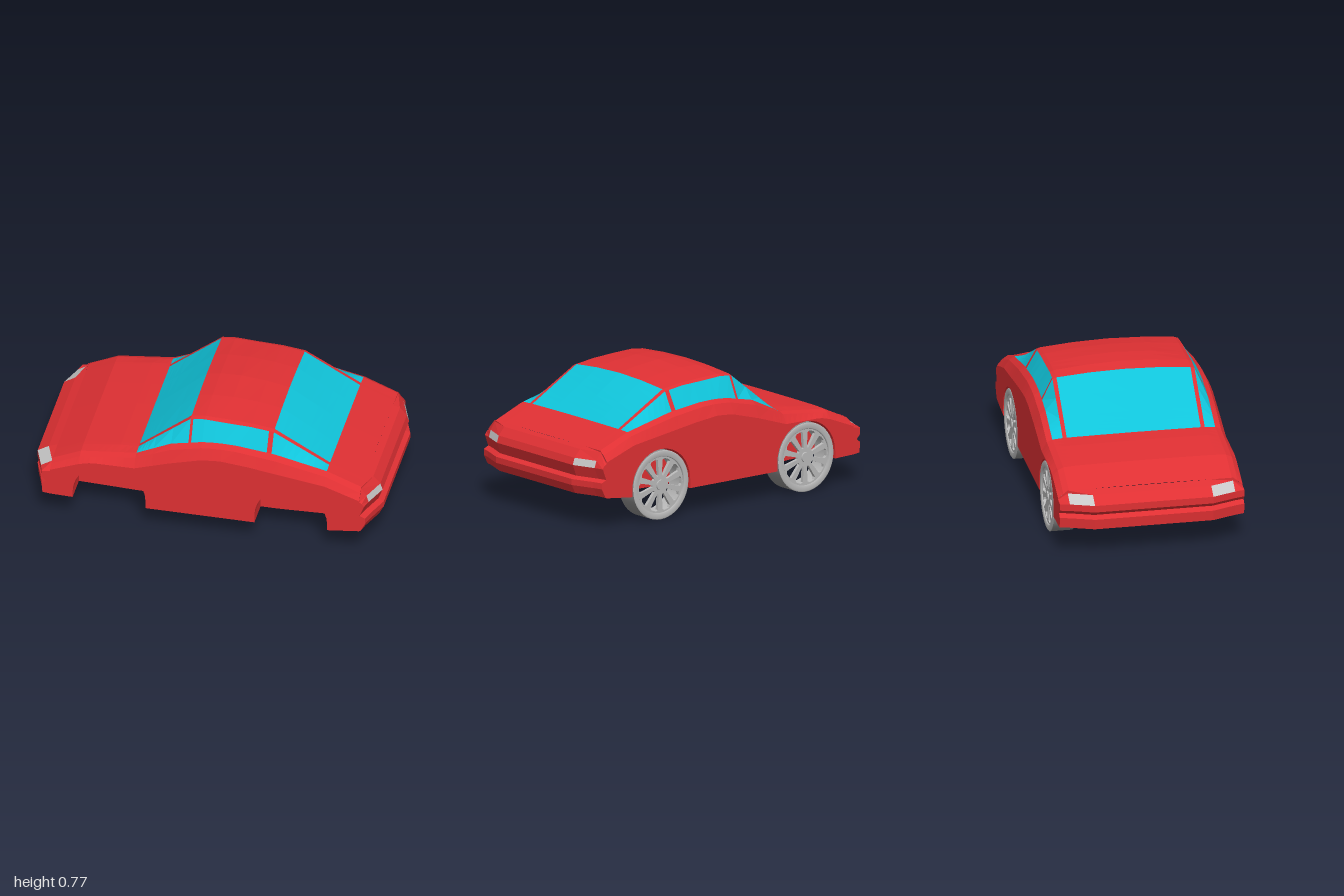
import * as THREE from 'three';

const mat = (name, color, side = THREE.FrontSide) => {
  const m = new THREE.MeshStandardMaterial({ color, side });
  m.name = name;
  return m;
};

// linear interpolation in a list of [x, y] keys
function lerpKeys(keys, x) {
  if (x <= keys[0][0]) return keys[0][1];
  for (let i = 1; i < keys.length; i++) {
    const [x0, y0] = keys[i - 1], [x1, y1] = keys[i];
    if (x <= x1) return y0 + (y1 - y0) * (x - x0) / (x1 - x0);
  }
  return keys[keys.length - 1][1];
}

// flat-shaded surface from rows of points; keep(i, j) picks the cells
function gridGeometry(rows, keep) {
  const pos = [];
  for (let i = 0; i < rows.length - 1; i++)
    for (let j = 0; j < rows[i].length - 1; j++) {
      if (!keep(i, j)) continue;
      const a = rows[i][j], b = rows[i + 1][j], c = rows[i + 1][j + 1], d = rows[i][j + 1];
      pos.push(...a, ...b, ...c, ...a, ...c, ...d);
    }
  const g = new THREE.BufferGeometry();
  g.setAttribute('position', new THREE.Float32BufferAttribute(pos, 3));
  g.computeVertexNormals();
  return g;
}

// side-view lines of the body
const BOTTOM = [[-0.885, 0.165], [-0.7, 0.16], [-0.4, 0.15], [0.4, 0.15], [0.7, 0.16], [0.9, 0.183]];
const BELT = [[-0.885, 0.33], [-0.72, 0.395], [-0.65, 0.413], [-0.4, 0.415], [-0.2, 0.48], [0, 0.535], [0.1, 0.54], [0.25, 0.525], [0.7, 0.46], [0.9, 0.39]];
const SHOULDER = [[-0.885, 0.354], [-0.72, 0.43], [-0.4, 0.468], [-0.2, 0.552], [0, 0.598], [0.15, 0.602], [0.4, 0.57], [0.7, 0.507], [0.9, 0.426]];
const SILL = [[-0.885, 0.37], [-0.72, 0.445], [-0.4, 0.48], [-0.2, 0.575], [0, 0.618], [0.15, 0.622], [0.4, 0.593], [0.7, 0.525], [0.9, 0.447]];
const ROOF = [[-0.885, 0.375], [-0.72, 0.452], [-0.5, 0.482], [-0.4, 0.487], [-0.1, 0.748], [-0.02, 0.764], [0.1, 0.769], [0.25, 0.755], [0.38, 0.732], [0.7, 0.53], [0.9, 0.45]];
const DROP = [[-0.4, 0.003], [-0.1, 0.027], [0.1, 0.046], [0.38, 0.03], [0.7, 0.003]];
const WHEELS_X = [-0.545, 0.505], ARCH_R = 0.21;

// half cross-section from the underside up to the roof centre
function halfSection(x) {
  const bottom = lerpKeys(BOTTOM, x), roof = lerpKeys(ROOF, x), drop = lerpKeys(DROP, x);
  let well = bottom;
  for (const c of WHEELS_X) {
    const d = Math.abs(x - c);
    if (d < ARCH_R) well = 0.2 + Math.sqrt(ARCH_R * ARCH_R - d * d);
  }
  const edge = roof - drop;
  return [
    [0.37, bottom], [0.37, well], [0.53, well],
    [0.53, lerpKeys(BELT, x)], [0.5, lerpKeys(SHOULDER, x)],
    [0.468, Math.min(lerpKeys(SILL, x), edge)],
    [0.408, edge], [0.385, roof - drop * 0.75], [0.2, roof - drop * 0.22], [0, roof],
  ];
}

function bodyRows() {
  const xs = [-0.885, -0.8, -0.72, -0.4, -0.3, -0.2, -0.1, -0.085, -0.02, 0.05, 0.1, 0.18, 0.25, 0.352, 0.38, 0.7, 0.8, 0.9];
  for (const c of WHEELS_X) {
    for (let k = 1; k < 16; k++) xs.push(c - ARCH_R * Math.cos(k * Math.PI / 16));
    for (const s of [-1, 1]) xs.push(c + s * (ARCH_R + 0.0001), c + s * (ARCH_R - 0.0001));
  }
  xs.sort((a, b) => a - b);
  return xs.map(x => {
    const half = halfSection(x);
    const right = half.map(([z, y]) => [x, y, z]);
    const left = half.slice(0, -1).reverse().map(([z, y]) => [x, y, -z]);
    return [...right, ...left, right[0]];
  });
}

// end cap with bevelled corners; dir is -1 for nose, +1 for tail
function capRows(dir, xEnd, profile, sideTop) {
  const cols = [[0.53, null], [0.53, 0.065], [0.475, 0.05], [0.34, 0]];
  return profile.map(([x, y], r) => {
    const ends = r === 0 || r === profile.length - 1;
    const half = cols.map(([z, inset]) => {
      const px = inset === null || ends ? xEnd : dir * Math.max(Math.abs(x) - inset, Math.abs(xEnd));
      return [px, z === 0.53 ? Math.min(y, sideTop - r * 0.008) : y, z];
    });
    const other = half.map(([a, b, c]) => [a, b, -c]).reverse();
    const row = [...half, ...other];
    return dir < 0 ? row.reverse() : row;
  });
}

function createWheel(rubber, alloy) {
  const wheel = new THREE.Group();
  wheel.name = 'wheel';
  const add = (name, geo, material, z = 0) => {
    const m = new THREE.Mesh(geo, material);
    m.name = name;
    m.position.z = z;
    wheel.add(m);
    return m;
  };
  // tread band
  add('tread', new THREE.CylinderGeometry(0.2, 0.2, 0.125, 48, 1, true).rotateX(Math.PI / 2), rubber);
  // side walls and inner barrel
  const loop = [[0.2, -0.0625], [0.194, -0.067], [0.168, -0.067], [0.163, -0.06], [0.163, 0.06], [0.168, 0.067], [0.194, 0.067], [0.2, 0.0625]];
  const ring = new THREE.LatheGeometry(loop.map(p => new THREE.Vector2(...p)), 48).rotateX(Math.PI / 2);
  add('rim', ring, alloy);
  // spoked disc with ten wedge openings
  const disc = new THREE.Shape().absarc(0, 0, 0.166, 0, Math.PI * 2);
  for (let k = 0; k < 10; k++) {
    const a = k * Math.PI / 5;
    const at = (r, w) => new THREE.Vector2(r * Math.cos(a) - w * Math.sin(a), r * Math.sin(a) + w * Math.cos(a));
    disc.holes.push(new THREE.Path([at(0.055, -0.006), at(0.055, 0.006), at(0.142, 0.028), at(0.153, 0.016), at(0.153, -0.016), at(0.142, -0.028)]));
  }
  add('spokes', new THREE.ExtrudeGeometry(disc, { depth: 0.02, bevelEnabled: false, curveSegments: 24 }), alloy, -0.058);
  add('hub', new THREE.CylinderGeometry(0.035, 0.028, 0.03, 20).rotateX(Math.PI / 2), alloy, -0.05);
  return wheel;
}

export function createModel() {
  const car = new THREE.Group();
  car.name = 'car';
  const paint = mat('red paint', 0xdf3033);
  const glass = mat('blue glass', 0x10c4da);
  const lamp = mat('lamp grey', 0xc8c8c8);
  const alloy = mat('wheel grey', 0xbababa, THREE.DoubleSide);
  const rubber = mat('tyre grey', 0x8c8c8c);
  const add = (name, geo, material) => {
    const m = new THREE.Mesh(geo, material);
    m.name = name;
    car.add(m);
  };

  // main shell, split into painted panels and windows
  const rows = bodyRows();
  const within = (x, spans) => spans.some(([a, b]) => x > a && x < b);
  const isSide = (i, j) => (j === 5 || j === 12) &&
    within((rows[i][0][0] + rows[i + 1][0][0]) / 2, [[-0.4, -0.1], [-0.085, 0.352], [0.38, 0.7]]);
  const isScreen = (i, j) => j >= 7 && j <= 10 &&
    within((rows[i][0][0] + rows[i + 1][0][0]) / 2, [[-0.4, -0.1], [0.38, 0.7]]);
  add('body', gridGeometry(rows, (i, j) => !isSide(i, j) && !isScreen(i, j)), paint);
  add('sideWindows', gridGeometry(rows, isSide), glass);
  add('windscreens', gridGeometry(rows, isScreen), glass);

  // nose and tail with bumper grooves; lamps fill one cell at each corner
  const nose = capRows(-1, -0.885, [[-0.885, 0.373], [-0.935, 0.355], [-1, 0.315], [-1, 0.275], [-0.975, 0.25], [-1, 0.23], [-0.995, 0.17], [-0.885, 0.165]], 0.33);
  const tail = capRows(1, 0.9, [[0.9, 0.449], [0.94, 0.44], [0.98, 0.395], [0.993, 0.355], [0.968, 0.29], [1, 0.275], [1, 0.24], [0.975, 0.19], [0.9, 0.183]], 0.39);
  for (const [name, cap] of [['nose', nose], ['tail', tail]]) {
    const lampRow = name === 'nose' ? 1 : 2;
    const isLamp = (i, j) => i === lampRow && (j === 2 || j === 4);
    add(name, gridGeometry(cap, (i, j) => !isLamp(i, j)), paint);
    add(name + 'Lamps', gridGeometry(cap, isLamp), lamp);
  }

  // wheels on the one side that carries them
  for (const x of WHEELS_X) {
    const wheel = createWheel(rubber, alloy);
    wheel.position.set(x, 0.2, -0.463);
    car.add(wheel);
  }
  return car;
}
